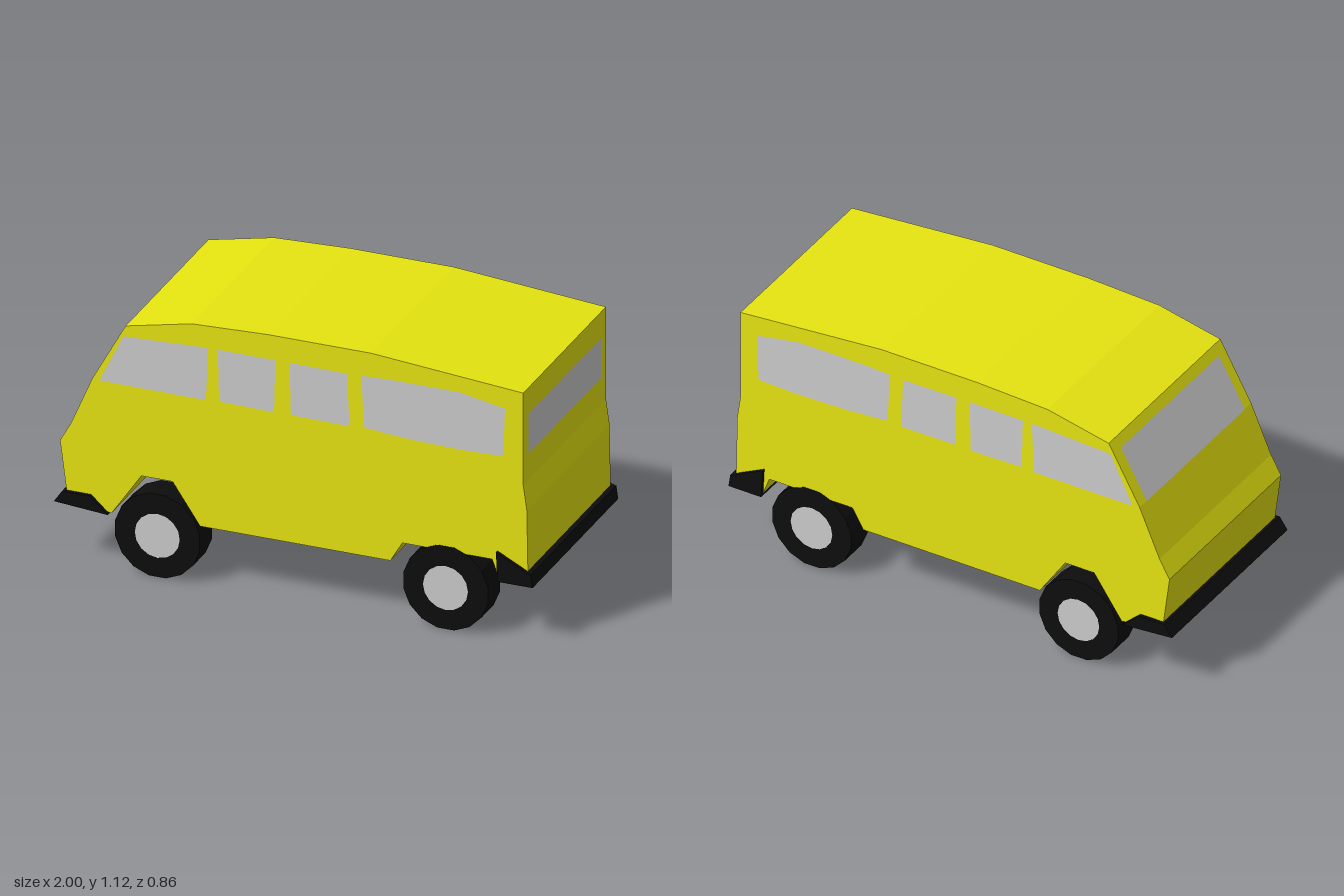
import * as THREE from 'three';

const mat = (color, extra = {}) => new THREE.MeshStandardMaterial({ color, flatShading: true, ...extra });
const yellow = mat(0xe6e410);
const black = mat(0x0d0d0d);
const grey = mat(0xcccccc);
const glass = mat(0xcccccc, { side: THREE.DoubleSide });

const HALF = 0.415; // half width of the body

const outline = (pts) => new THREE.Shape(pts.map(([x, y]) => new THREE.Vector2(x, y)));

function add(parent, name, geometry, material) {
  const mesh = new THREE.Mesh(geometry, material);
  mesh.name = name;
  parent.add(mesh);
  return mesh;
}

// Side profile pushed across the full width, centred on z = 0
function slab(pts, half) {
  const g = new THREE.ExtrudeGeometry(outline(pts), { depth: half * 2, bevelEnabled: false });
  return g.translate(0, 0, -half);
}

export function createModel() {
  const van = new THREE.Group();
  van.name = 'van';

  // Body shell with wheel arches cut through its lower edge
  add(van, 'body', slab([
    [-0.706, 1.05], [-0.845, 0.8], [-0.935, 0.59], [-0.98, 0.51], [-0.95, 0.28],
    [-0.765, 0.237], [-0.64, 0.42], [-0.51, 0.42], [-0.395, 0.25],
    [0.4, 0.25], [0.45, 0.335], [0.825, 0.335], [0.855, 0.255], [0.975, 0.27],
    [0.97, 0.57], [0.955, 0.675], [0.955, 1.07],
    [0.32, 1.123], [-0.11, 1.123], [-0.43, 1.11],
  ], HALF), yellow);

  // Bumpers wrap the ends and stand slightly proud of the sides
  add(van, 'frontBumper', slab([
    [-1, 0.252], [-0.775, 0.234], [-0.85, 0.302], [-0.965, 0.302],
  ], 0.43), black);
  add(van, 'rearBumper', slab([
    [0.853, 0.25], [1, 0.25], [0.992, 0.305], [0.975, 0.31], [0.847, 0.375],
  ], 0.43), black);

  // Side windows, mirrored on both sides
  const sideWindows = {
    cabWindow: [[-0.815, 0.797], [-0.37, 0.795], [-0.36, 1.02], [-0.715, 1.005]],
    forwardWindow: [[-0.315, 0.8], [-0.085, 0.795], [-0.08, 1.02], [-0.32, 1.02]],
    middleWindow: [[-0.015, 0.797], [0.23, 0.795], [0.22, 1.017], [-0.02, 1.02]],
    rearSideWindow: [[0.29, 0.8], [0.49, 0.785], [0.695, 0.78], [0.872, 0.785],
      [0.88, 0.99], [0.69, 1.025], [0.4, 1.025], [0.28, 1.02]],
  };
  for (const [name, pts] of Object.entries(sideWindows)) {
    for (const side of [1, -1]) {
      const pane = add(van, name, new THREE.ShapeGeometry(outline(pts)), glass);
      pane.position.z = side * (HALF + 0.002);
      if (side < 0) pane.geometry.scale(-1, 1, 1).rotateY(Math.PI);
    }
  }

  // Windscreen and rear window
  const slope = Math.atan2(0.139, 0.25);
  const screen = add(van, 'windscreen', new THREE.PlaneGeometry(0.73, 0.24), glass);
  screen.rotation.set(-slope, -Math.PI / 2, 0, 'YXZ');
  screen.position.set(-0.789, 0.905, 0);
  const back = add(van, 'rearWindow', new THREE.PlaneGeometry(0.73, 0.17), glass);
  back.rotation.y = Math.PI / 2;
  back.position.set(0.957, 0.875, 0);

  // Axles with a wheel and hub disc at each end
  for (const [end, x] of [['front', -0.572], ['rear', 0.632]]) {
    const axle = add(van, `${end}Axle`, new THREE.CylinderGeometry(0.02, 0.02, 0.7, 8), black);
    axle.rotation.x = Math.PI / 2;
    axle.position.set(x, 0.18, 0);
    for (const side of [1, -1]) {
      const wheel = new THREE.Group();
      wheel.name = `${end}Wheel`;
      const tyre = new THREE.CylinderGeometry(0.18, 0.18, 0.123, 16);
      add(wheel, 'tyre', tyre.rotateY(Math.PI / 16).rotateX(Math.PI / 2), black);
      const hub = add(wheel, 'hub', new THREE.CircleGeometry(0.094, 16), grey);
      hub.position.z = 0.0635;
      wheel.position.set(x, 0.178, side * 0.356);
      if (side < 0) wheel.rotation.y = Math.PI;
      van.add(wheel);
    }
  }
  return van;
}
